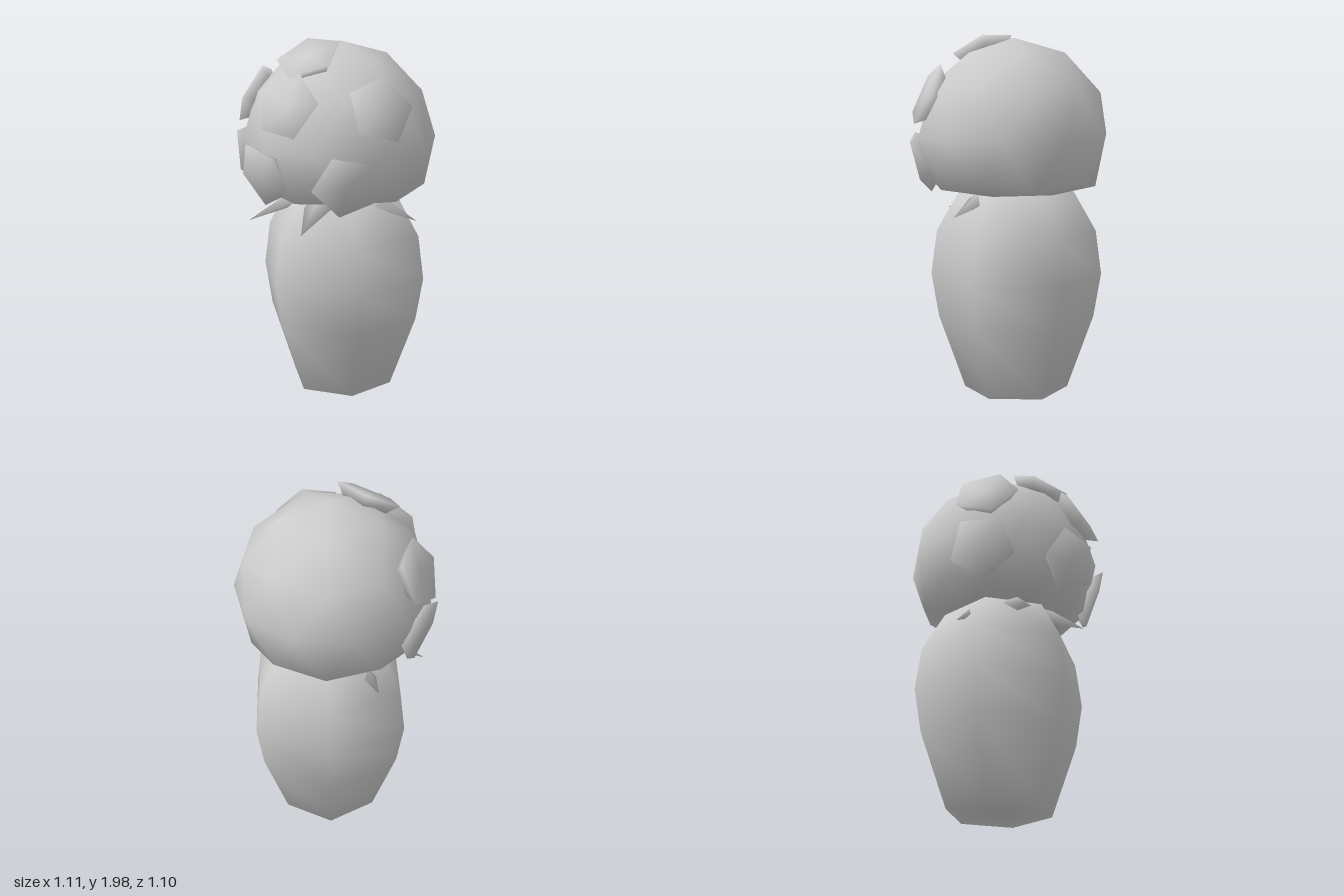
import * as THREE from 'three';
import { mergeVertices } from 'three/addons/utils/BufferGeometryUtils.js';

const material = new THREE.MeshStandardMaterial({ color: 0xcccccc, side: THREE.DoubleSide });

// Weld the corners and shade smoothly across every edge
function smooth(geometry) {
  geometry.deleteAttribute('normal');
  geometry.deleteAttribute('uv');
  const welded = mergeVertices(geometry, 1e-4);
  welded.computeVertexNormals();
  return welded;
}

function addMesh(parent, name, geometry) {
  const mesh = new THREE.Mesh(geometry, material);
  mesh.name = name;
  parent.add(mesh);
  return mesh;
}

export function createModel() {
  const model = new THREE.Group();
  model.name = 'flowerVase';

  // Six-sided vase
  const profile = [[0, 0], [0.291, 0], [0.437, 0.41], [0.478, 0.655], [0.445, 0.9], [0.32, 1.12], [0, 1.12]]
    .map(([r, y]) => new THREE.Vector2(r, y));
  addMesh(model, 'vase', smooth(new THREE.LatheGeometry(profile, 6))).position.set(-0.012, 0, -0.047);

  // Ball-shaped bush: an icosphere standing on one corner, flattened below
  const center = new THREE.Vector3(-0.01, 1.434, -0.024);
  const ball = new THREE.IcosahedronGeometry(0.533, 1);
  ball.rotateZ(-Math.atan(2 / (1 + Math.sqrt(5))));
  const pos = ball.attributes.position;
  for (let i = 0; i < pos.count; i++) pos.setY(i, Math.max(pos.getY(i), 1.12 - center.y));
  addMesh(model, 'bush', smooth(ball)).position.copy(center);

  // Five-sided blossoms: outward direction and roll in degrees
  const blossoms = new THREE.Group();
  blossoms.name = 'blossoms';
  model.add(blossoms);
  const blossomShape = new THREE.CylinderGeometry(0.185, 0.125, 0.065, 5, 1);
  blossomShape.translate(0, -0.0325, 0);
  blossomShape.rotateX(Math.PI / 2);
  const blossomGeometry = smooth(blossomShape);
  [
    [0.055, 0.48, 0.268, -90],
    [0.135, 0.24, 0.47, 11],
    [-0.41, 0.23, 0.265, -3],
    [0.464, 0.225, 0.131, 2],
    [-0.45, -0.125, 0.28, -17],
    [-0.02, -0.14, 0.53, 44],
    [0.395, -0.145, 0.295, 43],
  ].forEach(([x, y, z, roll]) => {
    const out = new THREE.Vector3(x, y, z).setLength(0.548);
    const blossom = addMesh(blossoms, 'blossom', blossomGeometry);
    blossom.position.copy(center).add(out);
    blossom.lookAt(center.clone().addScaledVector(out, 3));
    blossom.rotateZ(THREE.MathUtils.degToRad(roll + 90));
  });

  // Pointed leaves hanging out from under the bush, given by their tips
  const leaves = new THREE.Group();
  leaves.name = 'leaves';
  model.add(leaves);
  [[0.45, 1.02, -0.18], [0.18, 0.99, 0.41], [-0.284, 0.976, 0.41], [-0.416, 0.966, 0.02]].forEach((p) => {
    const tip = new THREE.Vector3(...p);
    const base = new THREE.Vector3(p[0], 0, p[2]).setLength(0.2).setY(1.12);
    const length = tip.distanceTo(base);
    const cone = new THREE.ConeGeometry(0.1, length, 4);
    cone.rotateX(Math.PI / 2);
    cone.scale(1, 0.5, 1);
    const leaf = addMesh(leaves, 'leaf', smooth(cone));
    leaf.position.copy(base).lerp(tip, 0.5);
    leaf.lookAt(tip);
  });

  return model;
}
